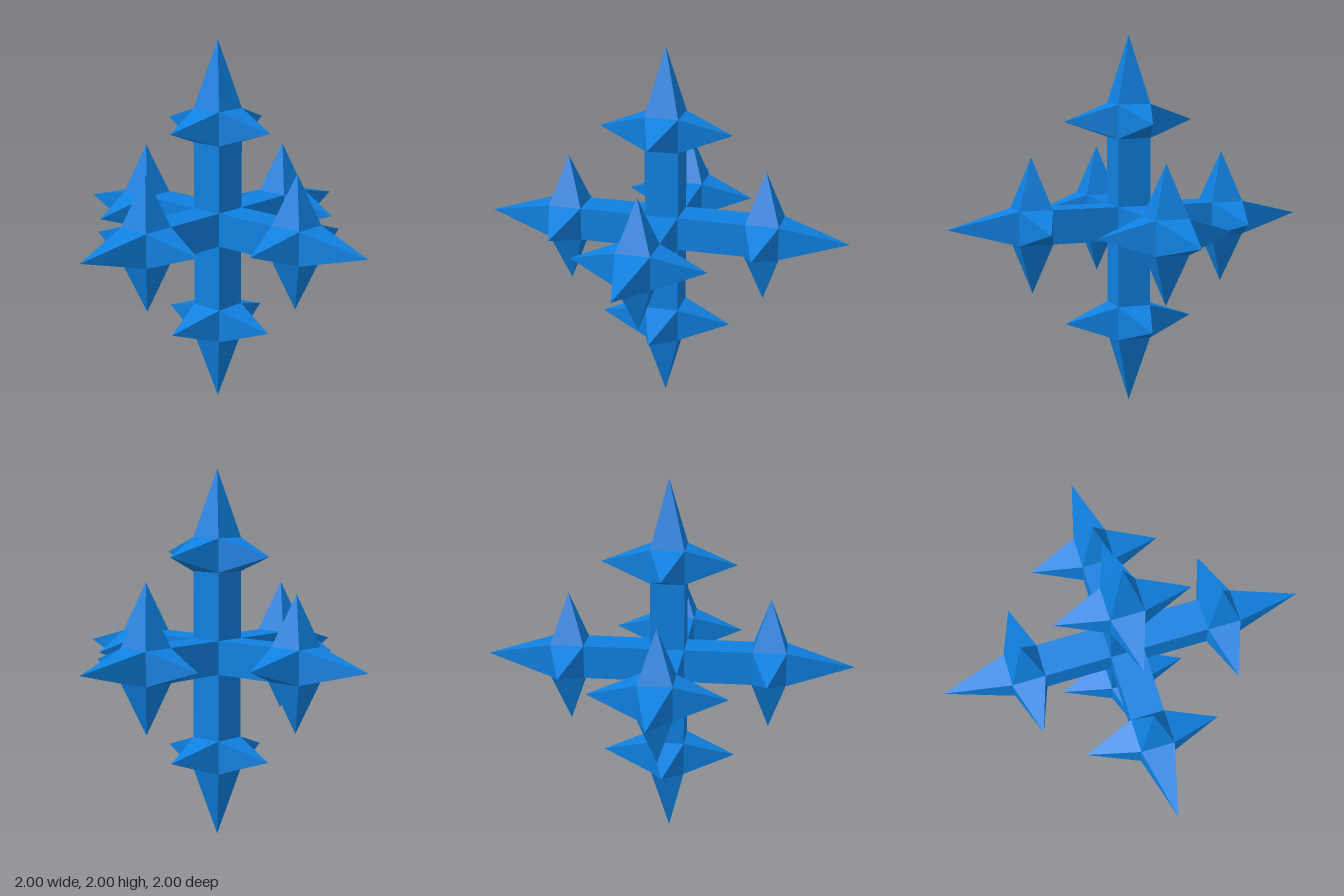
import * as THREE from 'three';

const U = 1 / 11; // half the width of a bar; every size is a multiple of it
const UP = new THREE.Vector3(0, 1, 0);
const DIRECTIONS = {
  top: [0, 1, 0], bottom: [0, -1, 0],
  left: [1, 0, 0], right: [-1, 0, 0],
  front: [0, 0, 1], back: [0, 0, -1],
};

// Square pyramid standing on y = 0, as wide as a bar
function pyramid(height) {
  return new THREE.ConeGeometry(U * Math.SQRT2, height, 4, 1, true)
    .rotateY(Math.PI / 4)
    .translate(0, height / 2, 0);
}

export function createModel() {
  const material = new THREE.MeshStandardMaterial({ color: 0x0f80e0, flatShading: true });
  const cube = new THREE.BoxGeometry(2 * U, 2 * U, 2 * U);
  const bar = new THREE.BoxGeometry(2 * U, 4 * U, 2 * U);
  const longSpike = pyramid(4 * U);
  const shortSpike = pyramid(3 * U);

  const add = (parent, name, geometry, y = 0) => {
    const mesh = new THREE.Mesh(geometry, material);
    mesh.name = name;
    mesh.position.y = y;
    parent.add(mesh);
    return mesh;
  };

  const model = new THREE.Group();
  model.name = 'spikedCross';
  add(model, 'centreCube', cube, 1);

  // Six equal arms, each built along +y and turned outwards
  for (const [side, direction] of Object.entries(DIRECTIONS)) {
    const arm = new THREE.Group();
    arm.name = `${side}Arm`;
    arm.position.y = 1;
    arm.quaternion.setFromUnitVectors(UP, new THREE.Vector3(...direction));
    add(arm, 'bar', bar, 3 * U);
    add(arm, 'endCube', cube, 6 * U);
    add(arm, 'tipSpike', longSpike, 7 * U);

    // Four shorter spikes around the end cube
    for (let i = 0; i < 4; i++) {
      const a = i * Math.PI / 2;
      const out = new THREE.Vector3(Math.cos(a), 0, Math.sin(a));
      const spike = add(arm, 'sideSpike', shortSpike);
      spike.quaternion.setFromUnitVectors(UP, out);
      spike.position.copy(out).multiplyScalar(U).setY(6 * U);
    }
    model.add(arm);
  }
  return model;
}
